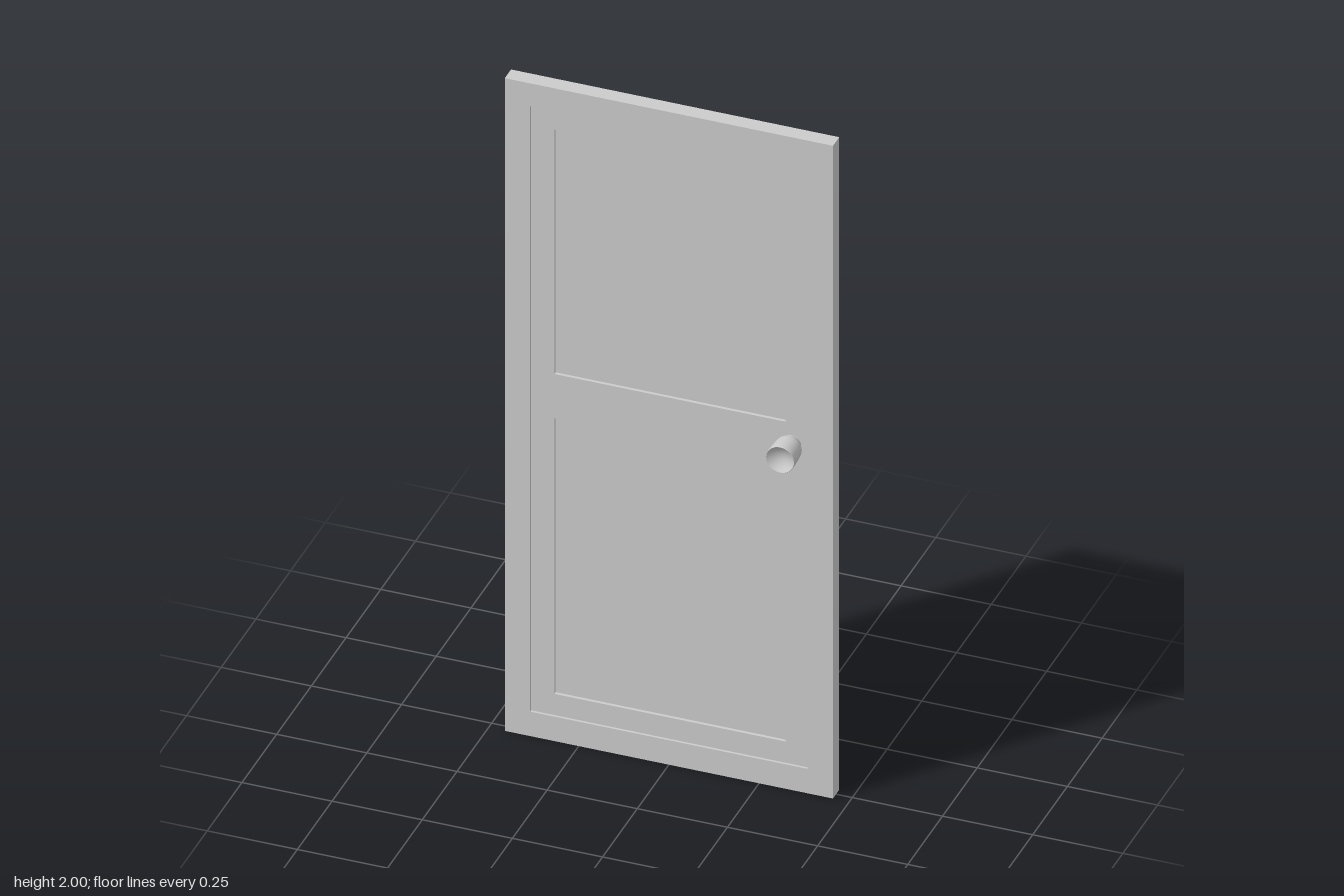
import * as THREE from 'three';

const material = new THREE.MeshStandardMaterial({ color: 0xcccccc, side: THREE.DoubleSide });

// Traces a rectangle given as [left, bottom, right, top]
function trace(path, [l, b, r, t]) {
  path.moveTo(l, b);
  path.lineTo(r, b);
  path.lineTo(r, t);
  path.lineTo(l, t);
  path.closePath();
  return path;
}

// Board centred on z = 0 with rectangular openings
function board(name, outline, openings, depth) {
  const shape = trace(new THREE.Shape(), outline);
  for (const o of openings) shape.holes.push(trace(new THREE.Path(), o));
  const geometry = new THREE.ExtrudeGeometry(shape, { depth, bevelEnabled: false });
  geometry.translate(0, 0, -depth / 2);
  const mesh = new THREE.Mesh(geometry, material);
  mesh.name = name;
  return mesh;
}

// Door knob along +z: narrow neck, flared body and a dished end
function knob(name, z) {
  const group = new THREE.Group();
  group.name = name;
  const side = [
    [0.027, 0], [0.027, 0.003], [0.029, 0.008], [0.033, 0.014],
    [0.0355, 0.018], [0.037, 0.025], [0.0385, 0.045], [0.0395, 0.07],
    [0.0395, 0.081], [0.0385, 0.0825],
  ];
  const dish = [];
  for (let i = 0; i <= 8; i++) {
    const r = 0.0385 * (1 - i / 8);
    dish.push([r, 0.0825 - 0.016 * (1 - (r / 0.0385) ** 2)]);
  }
  [['knobBody', side], ['knobDish', dish]].forEach(([part, points]) => {
    const profile = points.map(([r, h]) => new THREE.Vector2(r, h));
    const mesh = new THREE.Mesh(new THREE.LatheGeometry(profile, 40), material);
    mesh.name = part;
    mesh.rotation.x = Math.PI / 2;
    group.add(mesh);
  });
  group.position.set(0.34, 1.06, z);
  if (z < 0) group.rotation.y = Math.PI;
  return group;
}

export function createModel() {
  const door = new THREE.Group();
  door.name = 'door';

  const opening = [-0.385, 0.075, 0.385, 1.93];
  const panels = [[-0.32, 0.14, 0.32, 0.985], [-0.32, 1.12, 0.32, 1.87]];

  // Outer frame, recessed inner frame, then the two deepest panels
  door.add(board('outerFrame', [-0.455, 0, 0.455, 2], [opening], 0.045));
  door.add(board('innerFrame', opening, panels, 0.031));
  door.add(board('lowerPanel', panels[0], [], 0.013));
  door.add(board('upperPanel', panels[1], [], 0.013));

  // Knobs on both faces
  door.add(knob('frontKnob', 0.0225), knob('backKnob', -0.0225));
  return door;
}
